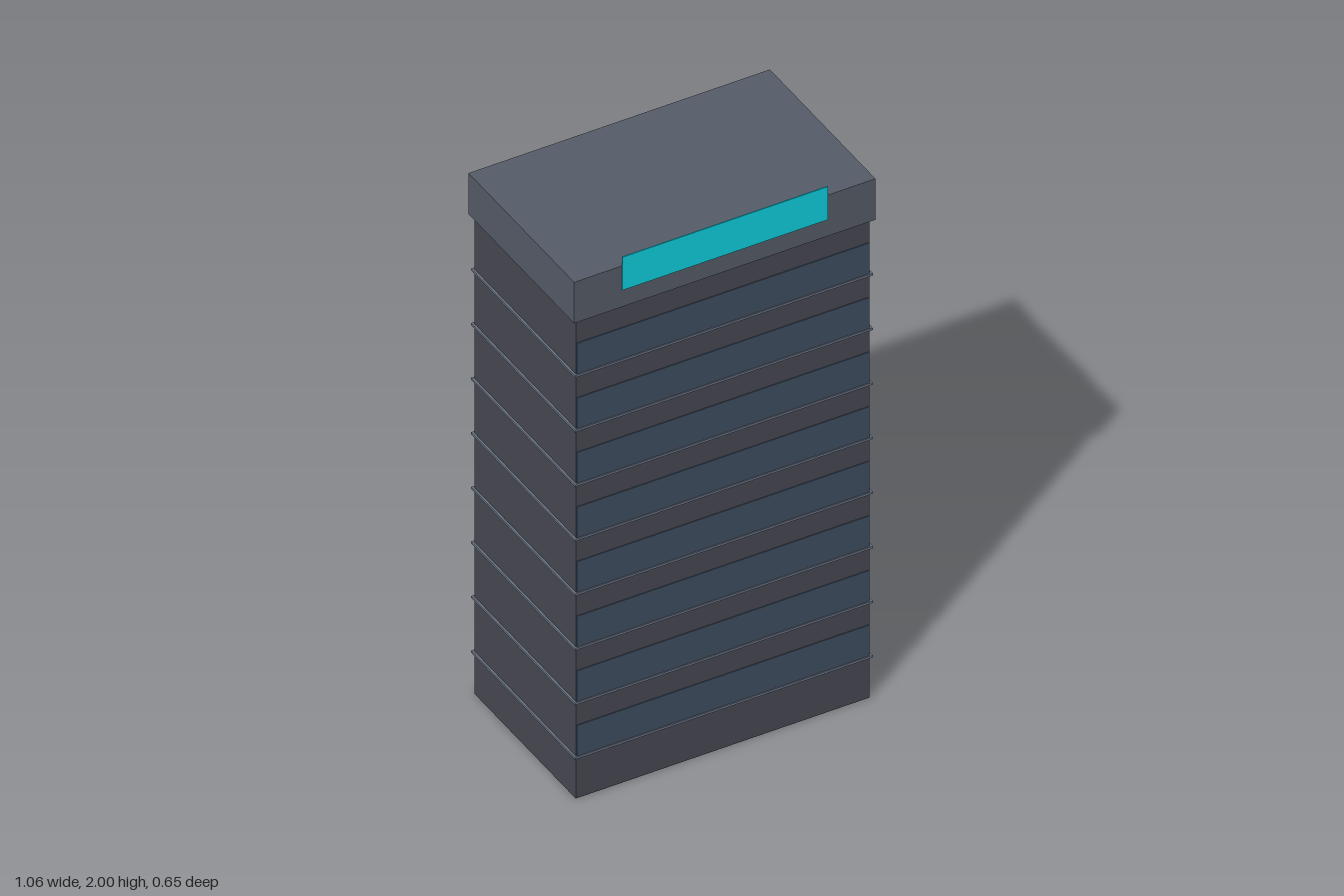
import * as THREE from 'three';

const FLOORS = 8, FIRST = 0.157, STEP = 0.2064;

export function createModel() {
  const tower = new THREE.Group();
  tower.name = 'towerBlock';

  const paint = (color) => new THREE.MeshStandardMaterial({ color });
  const wall = paint(0x464852);
  const roof = paint(0x565c68);
  const trim = paint(0x6b7484);
  const glass = paint(0x3f4e63);
  const cyan = paint(0x0fd0e0);

  // Box given by its size, its bottom and its centre in z
  function box(name, material, w, h, d, bottom, z) {
    const mesh = new THREE.Mesh(new THREE.BoxGeometry(w, h, d), material);
    mesh.name = name;
    mesh.position.set(0, bottom + h / 2, z);
    tower.add(mesh);
  }

  // Main block and overhanging roof cap
  box('body', wall, 1.03, 1.81, 0.617, 0, -0.0015);
  box('roofCap', roof, 1.056, 0.155, 0.642, 1.81, -0.0015);

  // A ledge around each floor with a window band above it on the front
  for (let i = 0; i < FLOORS; i++) {
    const y = FIRST + i * STEP;
    box(`ledge${i + 1}`, trim, 1.044, 0.008, 0.63, y - 0.004, -0.0015);
    box(`windowBand${i + 1}`, glass, 1.026, 0.116, 0.006, y + 0.004, 0.307);
  }

  // Thin blank sign board rising above the roof edge
  box('signBoard', cyan, 0.72, 0.125, 0.004, 1.875, 0.321);

  return tower;
}
